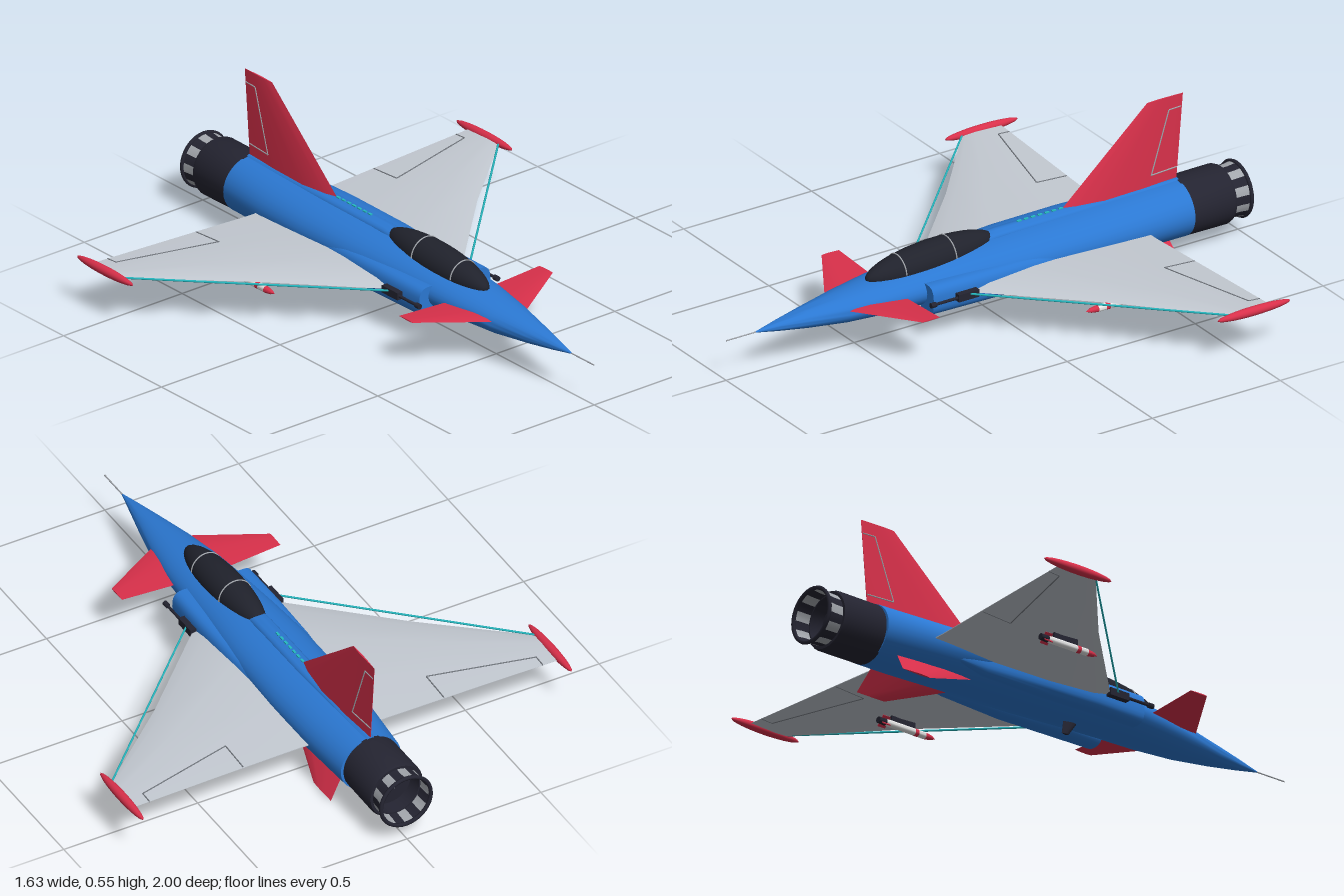
import * as THREE from 'three';
import { toCreasedNormals } from 'three/addons/utils/BufferGeometryUtils.js';

const material = (name, color) => {
  const m = new THREE.MeshStandardMaterial({ color });
  m.name = name;
  return m;
};
const V = (x, y, z) => new THREE.Vector3(x, y, z);

// Skin a list of equal-length rings, cap both ends and face everything outwards
function loft(rings, crease = 0.7) {
  const tris = [];
  const n = rings[0].length;
  for (let i = 0; i < rings.length - 1; i++) {
    for (let j = 0; j < n; j++) {
      const k = (j + 1) % n;
      const [a, b, c, d] = [rings[i][j], rings[i + 1][j], rings[i + 1][k], rings[i][k]];
      tris.push([a, b, d], [b, c, d]);
    }
  }
  const cap = (ring, flip) => {
    const mid = ring.reduce((s, p) => s.add(p), V(0, 0, 0)).divideScalar(n);
    ring.forEach((p, j) => {
      const q = ring[(j + 1) % n];
      tris.push(flip ? [mid, q, p] : [mid, p, q]);
    });
  };
  cap(rings[0], false);
  cap(rings[rings.length - 1], true);
  const centre = rings[0][0];
  let volume = 0;
  for (const [a, b, c] of tris) {
    volume += a.clone().sub(centre).dot(b.clone().sub(centre).cross(c.clone().sub(centre)));
  }
  const points = tris.flatMap(([a, b, c]) => (volume < 0 ? [a, c, b] : [a, b, c]));
  return toCreasedNormals(new THREE.BufferGeometry().setFromPoints(points), crease);
}

// Body of superellipse sections [z, rx, ry, cy, cx]; power 1 is a plain ellipse
function hull(sections, power = 1, n = 32) {
  const bend = (v) => Math.sign(v) * Math.abs(v) ** power;
  return loft(sections.map(([z, rx, ry, cy, cx = 0]) => Array.from({ length: n }, (_, j) => {
    const a = (j / n) * Math.PI * 2;
    return V(cx + rx * bend(Math.cos(a)), cy + ry * bend(Math.sin(a)), z);
  })));
}

// Aerofoil sections [x, y, leading z, trailing z, half thickness]; (nx, ny) is the thickness direction
const PROFILE = [[0, 0], [0.1, 0.6], [0.35, 1], [0.7, 0.65], [1, 0.06]];
function foil(sections, nx, ny) {
  const outline = [...PROFILE, ...PROFILE.slice(1).reverse().map(([t, h]) => [t, -h])];
  return loft(sections.map(([x, y, le, te, th]) =>
    outline.map(([t, h]) => V(x + nx * h * th, y + ny * h * th, le + (te - le) * t))), 0.5);
}

export function createModel() {
  const blue = material('blue paint', 0x2b78d2);
  const red = material('red paint', 0xd8304a);
  const grey = material('wing grey', 0xc3c9d1);
  const dark = material('dark metal', 0x242431);
  const glass = material('canopy glass', 0x20222c);
  const steel = material('steel', 0xa3a7ad);
  const white = material('white', 0xeeeeee);
  const cyan = material('cyan light', 0x25b9c1);
  const line = material('panel line', 0x73787f);
  steel.side = dark.side = THREE.DoubleSide;

  const model = new THREE.Group();
  model.name = 'jetFighter';
  const add = (name, geometry, mat, parent = model) => {
    const mesh = new THREE.Mesh(geometry, mat);
    mesh.name = name;
    parent.add(mesh);
    return mesh;
  };
  // Thin rod between two points
  const bar = (name, a, b, r, mat, sides = 6) => {
    const mesh = add(name, new THREE.CylinderGeometry(r, r, a.distanceTo(b), sides), mat);
    mesh.position.copy(a).lerp(b, 0.5);
    mesh.quaternion.setFromUnitVectors(V(0, 1, 0), b.clone().sub(a).normalize());
    return mesh;
  };
  // Turned part: points [radius, distance behind the origin]
  const turned = (name, pts, mat, parent, start = 0, length = Math.PI * 2, segments = 32) => {
    const pathPoints = pts.map(([r, d]) => new THREE.Vector2(r, d));
    const g = new THREE.LatheGeometry(pathPoints, segments, start, length);
    return add(name, toCreasedNormals(g.rotateX(-Math.PI / 2), 0.6), mat, parent);
  };

  // Fuselage, spine and nose probe
  add('fuselage', hull([
    [0.885, 0.002, 0.002, 0.145], [0.8, 0.022, 0.018, 0.146], [0.7, 0.046, 0.033, 0.147],
    [0.56, 0.078, 0.05, 0.15], [0.42, 0.1, 0.061, 0.156], [0.28, 0.112, 0.068, 0.162],
    [0.1, 0.124, 0.078, 0.166], [-0.1, 0.138, 0.086, 0.165], [-0.35, 0.14, 0.092, 0.162],
    [-0.55, 0.131, 0.096, 0.157], [-0.76, 0.112, 0.1, 0.153],
  ]), blue);
  add('spine', hull([
    [0.08, 0.03, 0.02, 0.23], [-0.05, 0.033, 0.024, 0.241], [-0.35, 0.033, 0.02, 0.246],
    [-0.76, 0.018, 0.014, 0.243],
  ], 1, 20), blue);
  bar('noseProbe', V(0, 0.145, 0.87), V(0, 0.145, 1), 0.0025, steel);
  for (let i = 0; i < 7; i++) {
    const light = add('spineLight', new THREE.BoxGeometry(0.008, 0.005, 0.016), cyan);
    light.position.set(0, 0.2665, -0.145 - i * 0.027);
  }

  // Canopy with two frame hoops
  const canopy = new THREE.Group();
  canopy.name = 'canopy';
  canopy.position.set(0, 0.227, 0.205);
  canopy.rotation.x = 0.05;
  model.add(canopy);
  add('canopyGlass', new THREE.SphereGeometry(1, 32, 24).scale(0.062, 0.062, 0.25), glass, canopy);
  for (const z of [-0.067, 0.125]) {
    const f = Math.sqrt(1 - (z / 0.25) ** 2) * 0.0625;
    const pts = Array.from({ length: 17 }, (_, i) =>
      V(Math.cos(i * Math.PI / 16) * f, Math.sin(i * Math.PI / 16) * f, z));
    add('canopyFrame', new THREE.TubeGeometry(new THREE.CatmullRomCurve3(pts), 24, 0.0025, 6), steel, canopy);
  }

  // Engine, striped nozzle petals and rim
  const engine = new THREE.Group();
  engine.name = 'engine';
  engine.position.y = 0.152;
  model.add(engine);
  turned('engineCasing', [[0.09, 0.745], [0.102, 0.755], [0.103, 0.92], [0.098, 0.932], [0.084, 0.932], [0.078, 0.88]], dark, engine);
  turned('turbineFace', [[0, 0.86], [0.03, 0.885], [0.032, 0.885]], steel, engine);
  turned('exhaustWall', [[0.08, 0.885], [0, 0.885]], dark, engine);
  const petals = 18;
  for (let i = 0; i < petals; i++) {
    const step = (Math.PI * 2) / petals;
    turned('nozzlePetal', [[0.088, 0.925], [0.089, 0.96], [0.093, 0.992]], i % 2 ? steel : dark, engine, i * step, step, 3);
  }
  const rim = add('nozzleRim', new THREE.TorusGeometry(0.093, 0.007, 8, 36), dark, engine);
  rim.position.z = -0.993;

  // Tail fin with rudder outline
  add('tailFin', foil([[0, 0.235, -0.28, -0.757, 0.02], [0, 0.556, -0.645, -0.785, 0.003]], 1, 0), red);
  const rudder = [[0.51, -0.777], [0.51, -0.728], [0.295, -0.655], [0.295, -0.76]];
  const finHalf = (y, z) => {
    const u = (y - 0.235) / 0.321;
    const le = -0.28 - 0.365 * u;
    const te = -0.757 - 0.028 * u;
    const t = (z - le) / (te - le);
    return (0.02 - 0.017 * u) * (0.65 - ((t - 0.7) / 0.3) * 0.59);
  };

  // Belly antenna
  add('bellyAntenna', foil([[0, 0.1, 0.13, 0.07, 0.008], [0, 0.042, 0.09, 0.062, 0.005]], 1, 0), dark);

  // Everything that comes in left and right pairs
  for (const s of [1, -1]) {
    rudder.slice(1).forEach((b, i) => {
      const at = ([y, z]) => V(s * finHalf(y, z), y, z);
      bar('rudderLine', at(rudder[i]), at(b), 0.0025, steel);
    });

    add('intake', hull([
      [0.288, 0.042, 0.052, 0.146, s * 0.108], [0.1, 0.044, 0.054, 0.145, s * 0.108],
      [-0.1, 0.042, 0.055, 0.141, s * 0.107], [-0.35, 0.03, 0.045, 0.135, s * 0.1],
      [-0.55, 0.01, 0.02, 0.135, s * 0.1],
    ], 0.7, 24), blue);

    // Main wing
    const wing = [
      [0.09, 0.148, 0.205, -0.575, 0.026], [0.165, 0.149, 0.13, -0.575, 0.024],
      [0.48, 0.157, -0.178, -0.587, 0.013], [0.8, 0.164, -0.455, -0.6, 0.005],
    ];
    add('wing', foil(wing.map(([x, ...rest]) => [s * x, ...rest]), 0, 1), grey);

    // Elevon outline on both faces, placed on the wing surface
    const surface = (x, z, side) => {
      const i = x < 0.48 ? 1 : 2;
      const u = (x - wing[i][0]) / (wing[i + 1][0] - wing[i][0]);
      const [, y, le, te, th] = wing[i].map((v, k) => v + (wing[i + 1][k] - v) * u);
      const h = 0.65 - (((z - le) / (te - le) - 0.7) / 0.3) * 0.59;
      return V(s * x, y + side * (h * th + 0.0005), z);
    };
    const elevon = [[0.375, -0.58], [0.375, -0.463], [0.48, -0.489], [0.735, -0.553], [0.735, -0.596]];
    for (const side of [1, -1]) {
      elevon.slice(1).forEach((b, i) => {
        bar('elevonLine', surface(...elevon[i], side), surface(...b, side), 0.0022, line);
      });
    }

    // Leading edge light strip and wingtip pod
    bar('leadingEdgeLight', V(s * 0.165, 0.155, 0.165), V(s * 0.798, 0.166, -0.455), 0.0035, cyan);
    const pod = add('wingtipPod', new THREE.SphereGeometry(1, 20, 16).scale(0.016, 0.016, 0.142), red);
    pod.position.set(s * 0.8, 0.164, -0.53);

    // Canard and ventral fin
    add('canard', foil([[s * 0.06, 0.162, 0.575, 0.36, 0.008], [s * 0.296, 0.177, 0.43, 0.362, 0.002]], 0, 1), red);
    add('ventralFin', foil([[s * 0.06, 0.085, -0.36, -0.685, 0.008], [s * 0.118, 0.003, -0.59, -0.705, 0.003]], s * 0.82, 0.57), red);

    // Wing root cannon
    const mount = add('cannonMount', new THREE.BoxGeometry(0.022, 0.026, 0.08), dark);
    mount.position.set(s * 0.163, 0.15, 0.165);
    bar('cannonBarrel', V(s * 0.165, 0.15, 0.18), V(s * 0.165, 0.15, 0.3), 0.005, dark, 10);
    bar('cannonMuzzle', V(s * 0.165, 0.15, 0.29), V(s * 0.165, 0.15, 0.31), 0.009, dark, 10);

    // Missile under the wing
    const missile = new THREE.Group();
    missile.name = 'missile';
    missile.position.set(s * 0.415, 0.111, -0.13);
    model.add(missile);
    turned('missileNose', [[0, 0], [0.008, 0.018], [0.012, 0.045]], red, missile, 0, Math.PI * 2, 14);
    turned('missileBody', [[0.012, 0.045], [0.012, 0.21]], white, missile, 0, Math.PI * 2, 14);
    turned('missileBand', [[0.0125, 0.075], [0.0125, 0.09]], red, missile, 0, Math.PI * 2, 14);
    turned('missileTail', [[0.0125, 0.21], [0.011, 0.24], [0, 0.24]], dark, missile, 0, Math.PI * 2, 14);
    for (const roll of [Math.PI / 4, -Math.PI / 4]) {
      const fins = add('missileFins', new THREE.BoxGeometry(0.042, 0.003, 0.03), red, missile);
      fins.position.z = -0.215;
      fins.rotation.z = roll;
    }
    const pylon = add('pylon', new THREE.BoxGeometry(0.008, 0.03, 0.1), dark, missile);
    pylon.position.set(0, 0.024, -0.135);
  }
  return model;
}
